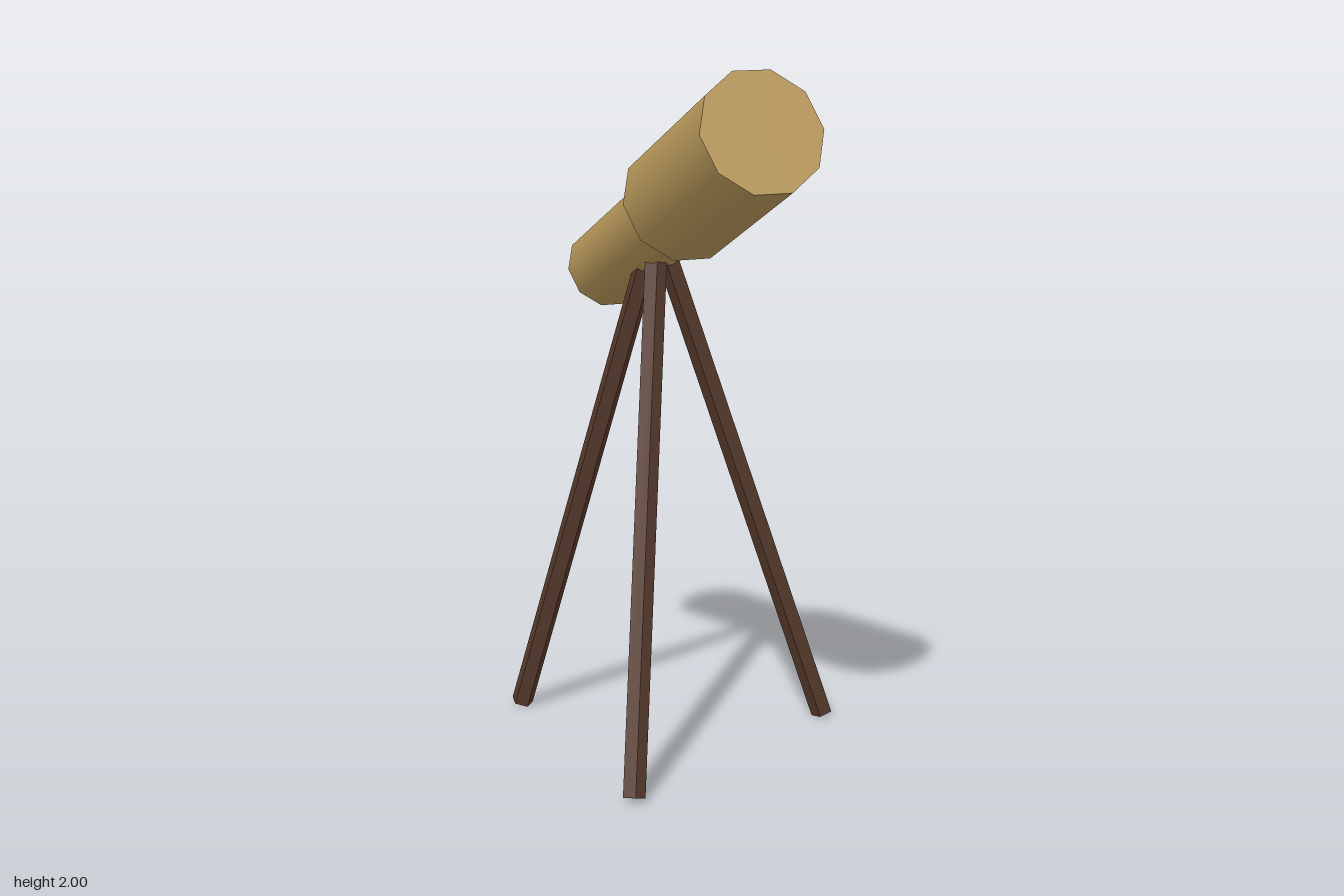
import * as THREE from 'three';

const brass = new THREE.MeshStandardMaterial({ color: 0xb8985a });
const wood = new THREE.MeshStandardMaterial({ color: 0x573a2c, flatShading: true });

// Ten-sided tube along z from z0 to z1, with corners on the left and right
function tube(name, radius, z0, z1) {
  const geometry = new THREE.CylinderGeometry(radius, radius, z1 - z0, 10);
  geometry.rotateY(Math.PI / 2).rotateX(Math.PI / 2).translate(0, 0, (z0 + z1) / 2);
  const mesh = new THREE.Mesh(geometry, brass);
  mesh.name = name;
  return mesh;
}

export function createModel() {
  const model = new THREE.Group();
  model.name = 'telescope';

  // Hub where the legs meet the telescope's axis
  const hub = new THREE.Vector3(-0.133, 1.524, -0.147);

  // Tilted telescope body
  const body = new THREE.Group();
  body.name = 'body';
  body.position.copy(hub);
  body.rotation.x = THREE.MathUtils.degToRad(-24.5);
  body.add(tube('mainBarrel', 0.175, 0.203, 0.785));
  body.add(tube('eyepieceTube', 0.1225, -0.431, 0.25));
  model.add(body);

  // Three splayed five-sided legs
  const spread = 0.53;
  const drop = hub.y - 0.0105;
  const length = Math.hypot(spread, drop);
  const legGeometry = new THREE.CylinderGeometry(0.033, 0.033, length, 5);
  legGeometry.rotateY(Math.PI).translate(0, -length / 2, 0).rotateZ(Math.atan2(spread, drop));
  const tripod = new THREE.Group();
  tripod.name = 'tripod';
  tripod.position.copy(hub);
  ['leftLeg', 'rightBackLeg', 'rightFrontLeg'].forEach((name, i) => {
    const leg = new THREE.Mesh(legGeometry, wood);
    leg.name = name;
    leg.rotation.y = (i * Math.PI * 2) / 3;
    tripod.add(leg);
  });
  model.add(tripod);

  return model;
}
